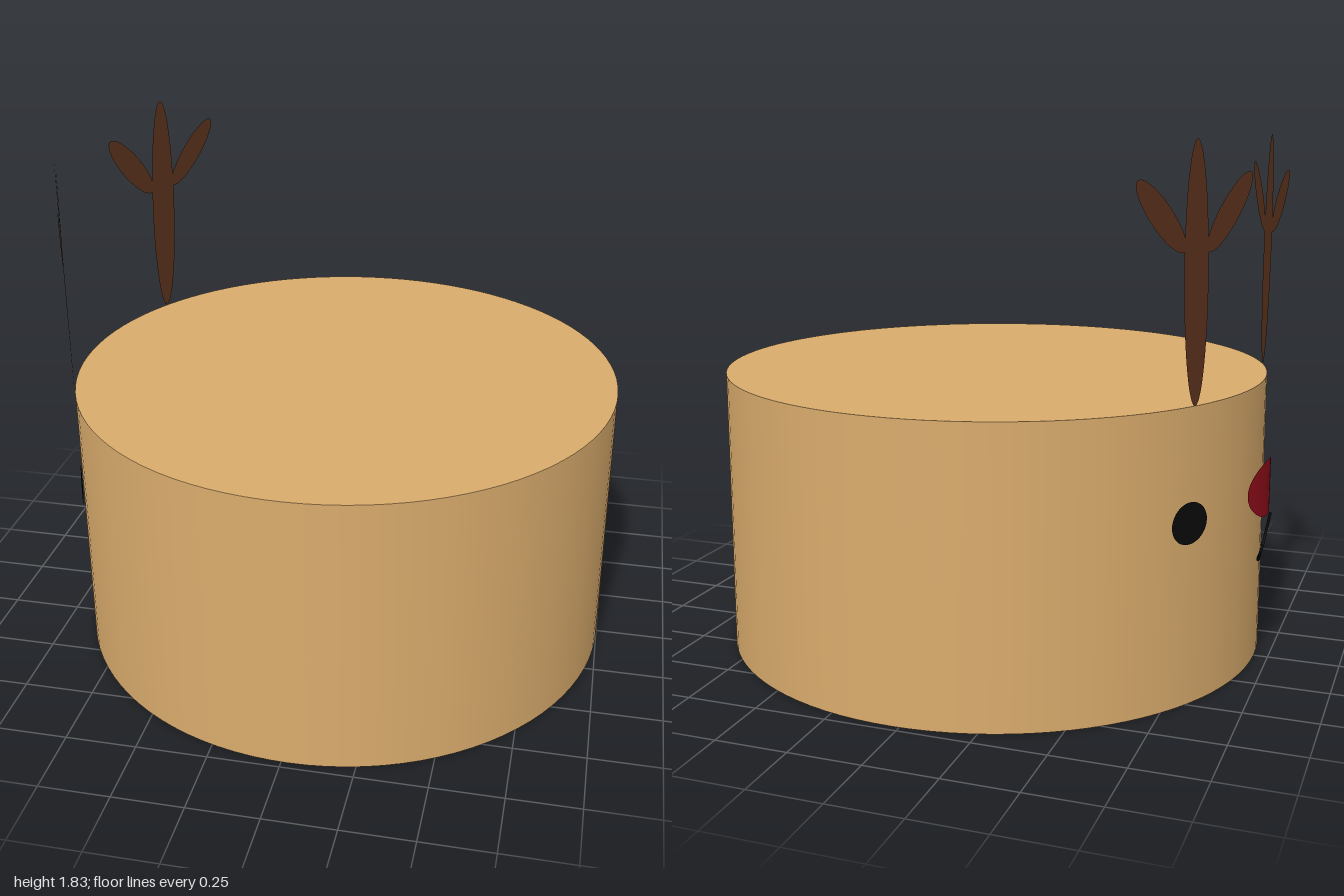
import * as THREE from 'three';

const paint = (color) => new THREE.MeshStandardMaterial({ color, side: THREE.DoubleSide });

export function createModel() {
  const model = new THREE.Group();
  const tan = paint(0xd9ab6c), brown = paint(0x5a321c), red = paint(0x8c0c18), black = paint(0x0a0a0a);

  const add = (parent, name, geometry, material) => {
    const mesh = new THREE.Mesh(geometry, material);
    mesh.name = name;
    parent.add(mesh);
    return mesh;
  };

  // Flat oval standing in the local xy plane
  const oval = (parent, name, material, x, y, halfW, halfH, tilt = 0) => {
    const mesh = add(parent, name, new THREE.CircleGeometry(1, 40), material);
    mesh.position.set(x, y, 0);
    mesh.scale.set(halfW, halfH, 1);
    mesh.rotation.z = tilt;
    return mesh;
  };

  // Drum body
  const cx = 0.025, radius = 0.975;
  add(model, 'body', new THREE.CylinderGeometry(radius, radius, 1, 96), tan).position.set(cx, 0.5, 0);

  // Antlers: flat sheets tangent to the rim, local x running toward +z
  const antlers = [[-0.89, 0.345, 0.385, 0.923], [-0.818, -0.495, -0.49, 0.87]];
  antlers.forEach(([x, z, ux, uz], i) => {
    const antler = new THREE.Group();
    antler.name = i ? 'backAntler' : 'frontAntler';
    antler.position.set(x, 0, z);
    antler.rotation.y = -Math.atan2(uz, ux);
    oval(antler, 'antlerStem', brown, -0.01, 1.415, 0.056, 0.415, 0.024);
    oval(antler, 'antlerBranchA', brown, 0.14, 1.603, 0.045, 0.155, -0.7);
    oval(antler, 'antlerBranchB', brown, -0.172, 1.6, 0.045, 0.155, 0.785);
    model.add(antler);
  });

  // Eyes: discs just outside the side wall
  for (const z of [0.36, -0.505]) {
    const x = -Math.sqrt(radius * radius - z * z);
    const eye = new THREE.Group();
    eye.name = 'eye';
    eye.position.set(cx + x * 1.005, 0.62, z * 1.005);
    eye.rotation.y = Math.atan2(x, z);
    oval(eye, 'eyeDisc', black, 0, 0, 0.08, 0.07);
    model.add(eye);
  }

  // Nose: oval sheet bowed outward from the face
  const nose = new THREE.RingGeometry(0, 1, 48, 10);
  const p = nose.attributes.position;
  for (let i = 0; i < p.count; i++) {
    const s = p.getX(i), t = p.getY(i);
    p.setXYZ(i, -0.992 + 0.035 * s * s - 0.009 * s, 0.648 + 0.1 * t, -0.085 + 0.142 * s);
  }
  nose.computeVertexNormals();
  add(model, 'nose', nose, red);

  // Mouth: thin lopsided smile
  const smile = new THREE.CatmullRomCurve3([
    [-0.98, 0.42, -0.13], [-0.967, 0.385, -0.08], [-0.957, 0.37, -0.02],
    [-0.957, 0.38, 0.04], [-0.964, 0.43, 0.08], [-0.976, 0.505, 0.1],
  ].map((v) => new THREE.Vector3(...v)));
  add(model, 'mouth', new THREE.TubeGeometry(smile, 40, 0.005, 6), black);

  return model;
}
